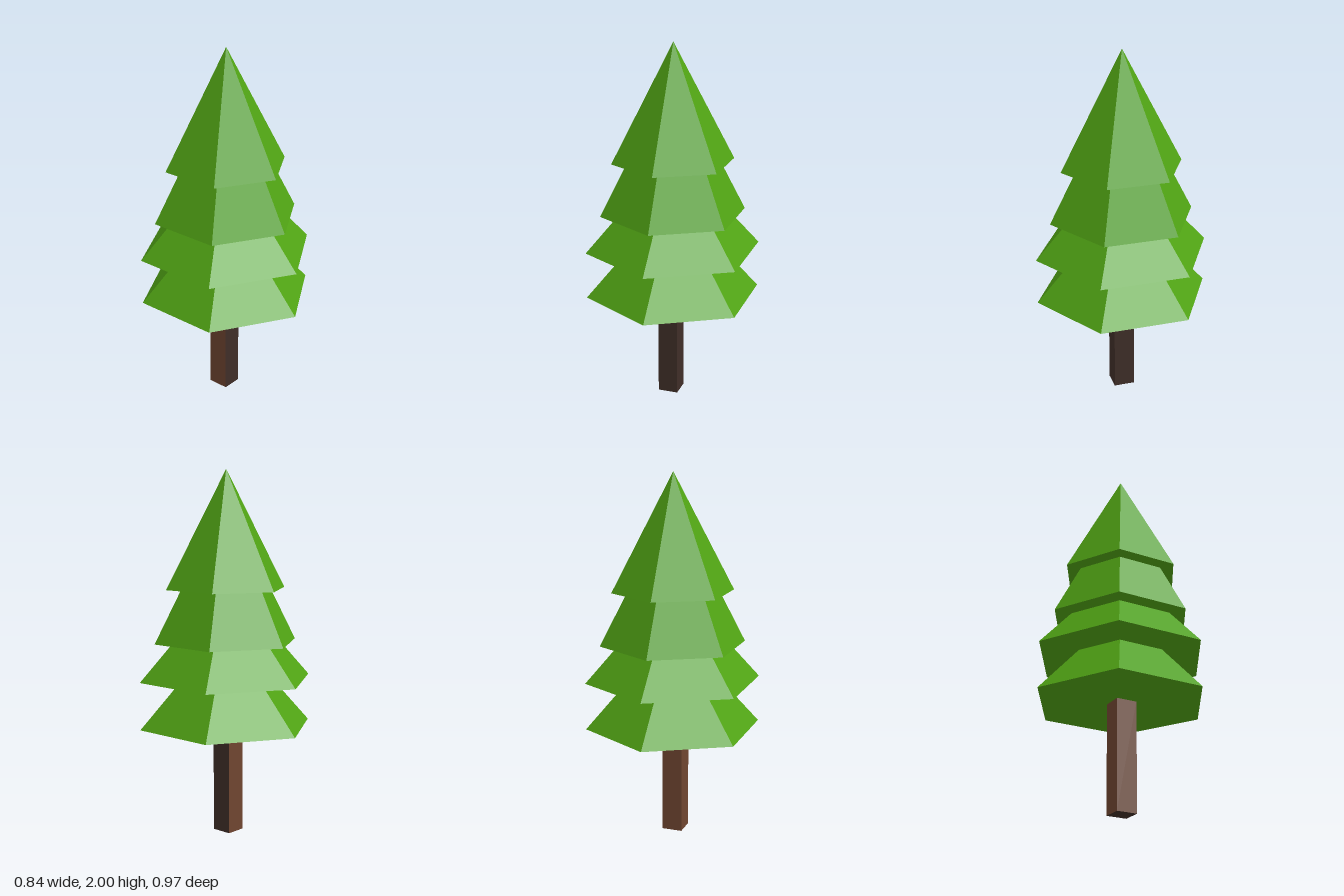
import * as THREE from 'three';

const paint = (color) => new THREE.MeshStandardMaterial({ color, flatShading: true });

export function createModel() {
  const tree = new THREE.Group();
  tree.name = 'pineTree';

  // Foliage: stacked six-sided cones, corners pointing along z
  const green = paint(0x50a314);
  const tiers = [ // base height, apex height, corner radius
    [0.605, 1.15, 0.487],
    [0.865, 1.41, 0.487],
    [1.07, 1.85, 0.403],
    [1.36, 2.0, 0.337],
  ];
  tiers.forEach(([base, apex, radius], i) => {
    const tier = new THREE.Mesh(new THREE.ConeGeometry(radius, apex - base, 6), green);
    tier.position.y = (base + apex) / 2;
    tier.name = `foliageTier${i + 1}`;
    tree.add(tier);
  });

  // Trunk: slightly off-centre square post, dark bark with two lighter sides
  const dark = paint(0x3f2e28);
  const light = paint(0x6f4530);
  const height = 0.61;
  const trunk = new THREE.Mesh(
    new THREE.BoxGeometry(0.112, height, 0.116),
    [dark, light, dark, dark, dark, light], // +x, -x, +y, -y, +z, -z
  );
  trunk.position.set(-0.014, height / 2, -0.002);
  trunk.name = 'trunk';
  tree.add(trunk);

  return tree;
}
